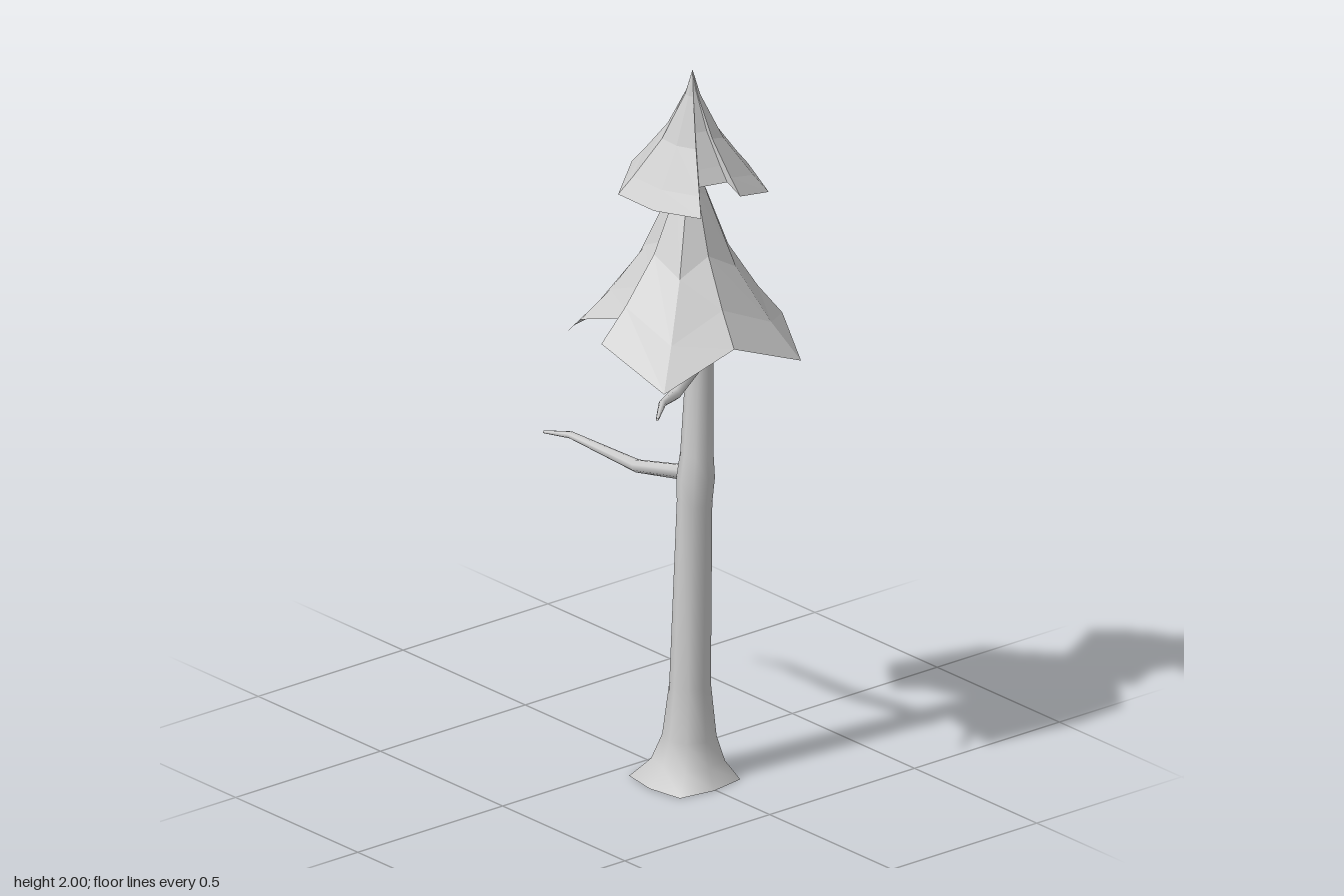
import * as THREE from 'three';

// Skin a list of closed rings (each an array of Vector3, same count)
function loft(rings) {
  const n = rings[0].length, index = [];
  for (let r = 0; r < rings.length - 1; r++) {
    for (let s = 0; s < n; s++) {
      const a = r * n + s, b = r * n + (s + 1) % n;
      index.push(a, a + n, b + n, a, b + n, b);
    }
  }
  const geo = new THREE.BufferGeometry().setFromPoints(rings.flat());
  geo.setIndex(index);
  geo.computeVertexNormals();
  return geo;
}

// Leaf tier: spokes fall from the apex to each rim point in a concave curve
function tierGeometry(apex, rim, profile) {
  const top = new THREE.Vector3(...apex);
  return loft(profile.map(([out, drop]) => rim.map(([x, y, z]) => new THREE.Vector3(
    THREE.MathUtils.lerp(top.x, x, out),
    THREE.MathUtils.lerp(top.y, y, drop),
    THREE.MathUtils.lerp(top.z, z, out)))));
}

// Tapered limb along a path of [x, y, z, radius]
function branchGeometry(path, sides = 7) {
  const pts = path.map(p => new THREE.Vector3(p[0], p[1], p[2]));
  const up = new THREE.Vector3(0, 1, 0);
  return loft(pts.map((p, i) => {
    const dir = pts[Math.min(i + 1, pts.length - 1)].clone().sub(pts[Math.max(i - 1, 0)]).normalize();
    const side = dir.clone().cross(up).normalize();
    const lift = side.clone().cross(dir);
    return Array.from({ length: sides }, (_, k) => {
      const a = k / sides * Math.PI * 2;
      return p.clone()
        .addScaledVector(side, Math.cos(a) * path[i][3])
        .addScaledVector(lift, Math.sin(a) * path[i][3]);
    });
  }));
}

// Trunk: rings of [y, centre x, centre z, radius, root flare at the diagonals]
function trunkGeometry() {
  const rows = [
    [1.72, 0.035, 0.137, 0.012, 0],
    [1.45, 0.045, 0.142, 0.028, 0],
    [1.18, 0.052, 0.153, 0.036, 0],
    [0.92, 0.033, 0.163, 0.044, 0],
    [0.85, 0.029, 0.163, 0.051, 0],
    [0.78, 0.025, 0.163, 0.047, 0],
    [0.27, 0.008, 0.165, 0.055, 0],
    [0.12, 0.008, 0.162, 0.068, 0.004],
    [0.05, 0.005, 0.160, 0.086, 0.012],
    [0.00, -0.005, 0.158, 0.121, 0.026],
  ];
  const sides = 8;
  return loft(rows.map(([y, cx, cz, radius, flare]) =>
    Array.from({ length: sides }, (_, k) => {
      const a = k / sides * Math.PI * 2, r = radius + (k % 2 ? flare : 0);
      return new THREE.Vector3(cx + Math.sin(a) * r, y, cz + Math.cos(a) * r);
    })));
}

export function createModel() {
  const tree = new THREE.Group();
  tree.name = 'tree';
  const bark = new THREE.MeshStandardMaterial({ color: 0xcccccc, side: THREE.DoubleSide });
  const leaf = new THREE.MeshStandardMaterial({ color: 0xcccccc, side: THREE.DoubleSide, flatShading: true });
  const add = (name, geometry, material) => {
    const mesh = new THREE.Mesh(geometry, material);
    mesh.name = name;
    tree.add(mesh);
  };

  add('trunk', trunkGeometry(), bark);

  // Bare branches
  add('backBranch', branchGeometry([
    [0.04, 0.85, 0.14, 0.022], [0.038, 0.80, -0.09, 0.018],
    [0.02, 0.815, -0.34, 0.010], [0.001, 0.802, -0.425, 0.004]]), bark);
  add('frontBranch', branchGeometry([
    [0.04, 1.175, 0.16, 0.020], [-0.10, 1.14, 0.23, 0.016],
    [-0.21, 1.168, 0.31, 0.010], [-0.28, 1.16, 0.372, 0.004]]), bark);

  // Lower tier: ragged rim, alternating drooping flaps and short gaps
  add('lowerFoliage', tierGeometry([0.035, 1.79, 0.135], [
    [-0.055, 1.315, 0.42], [0.18, 1.22, 0.415], [0.28, 1.27, 0.22], [0.29, 1.197, -0.01],
    [0.195, 1.32, 0.035], [0.11, 1.33, -0.06], [0.125, 1.27, -0.14], [-0.085, 1.195, -0.205],
    [-0.23, 1.25, -0.07], [-0.205, 1.30, -0.03], [-0.19, 1.36, 0.165], [-0.29, 1.31, 0.155],
    [-0.265, 1.23, 0.382],
  ], [[0, 0], [0.16, 0.25], [0.41, 0.58], [0.73, 0.83], [1, 1]]), leaf);

  // Upper tier with a sharp tip
  add('upperFoliage', tierGeometry([0.04, 2, 0.137], [
    [-0.02, 1.71, 0.235], [0.06, 1.71, 0.255], [0.07, 1.68, 0.297], [0.195, 1.65, 0.265],
    [0.22, 1.69, 0.15], [0.195, 1.71, 0.137], [0.125, 1.76, 0.05], [0.18, 1.68, 0.02],
    [0.095, 1.66, -0.085], [-0.02, 1.70, -0.04], [-0.135, 1.66, 0.04], [-0.122, 1.65, 0.17],
    [-0.055, 1.645, 0.285],
  ], [[0, 0], [0.10, 0.20], [0.41, 0.56], [0.80, 0.86], [1, 1]]), leaf);

  return tree;
}
